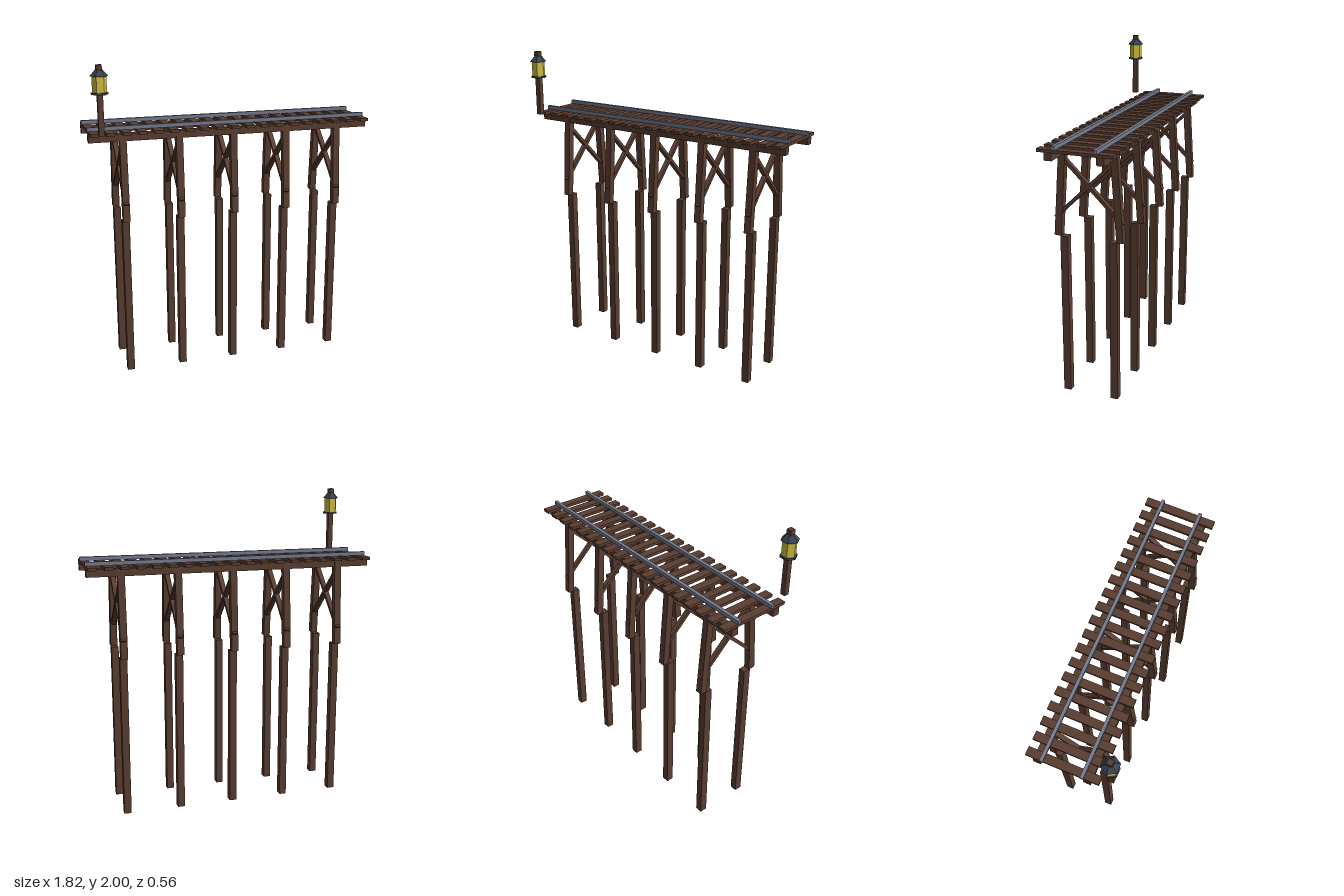
import * as THREE from 'three';

const material = (name, color) => {
  const m = new THREE.MeshStandardMaterial({ color });
  m.name = name;
  return m;
};

export function createModel() {
  const model = new THREE.Group();
  model.name = 'railwayTrestle';
  const wood = material('dark wood', 0x5a3e31);
  const steel = material('rail steel', 0x767d90);
  const iron = material('lantern iron', 0x38434f);
  const glass = material('lantern glass', 0xd2bf42);

  const add = (parent, name, geometry, mat, x, y, z) => {
    const mesh = new THREE.Mesh(geometry, mat);
    mesh.name = name;
    mesh.position.set(x, y, z);
    parent.add(mesh);
    return mesh;
  };
  const box = (parent, name, w, h, d, x, y, z, mat = wood) =>
    add(parent, name, new THREE.BoxGeometry(w, h, d), mat, x, y, z);

  // Timber running between two points [y, z] in the plane of a bent
  const timber = (parent, name, w, thick, [y0, z0], [y1, z1]) => {
    const dy = y1 - y0, dz = z1 - z0;
    const mesh = box(parent, name, w, Math.hypot(dy, dz), thick, 0, (y0 + y1) / 2, (z0 + z1) / 2);
    mesh.rotation.x = Math.atan2(dz, dy);
  };

  // Track, centred on its own z axis
  const track = new THREE.Group();
  track.name = 'track';
  track.position.z = -0.05;
  model.add(track);
  for (const s of [1, -1]) {
    box(track, 'beam', 1.82, 0.046, 0.045, 0, 1.548, s * 0.155);
    box(track, 'rail', 1.82, 0.024, 0.021, 0, 1.599, s * 0.124, steel);
  }
  for (let i = 0; i < 19; i++) {
    box(track, 'tie', 0.053, 0.019, 0.452, (i - 9) * 0.0975, 1.578, 0);
  }

  // Five bents: posts, splayed legs and crossed braces
  for (let i = -2; i <= 2; i++) {
    const bent = new THREE.Group();
    bent.name = 'bent';
    bent.position.set(i * 0.351, 0, -0.05);
    model.add(bent);
    for (const s of [1, -1]) {
      box(bent, 'post', 0.045, 1.02, 0.047, 0, 0.51, s * 0.155);
      timber(bent, 'leg', 0.043, 0.043, [1.022, s * 0.194], [1.567, s * 0.156]);
      timber(bent, 'brace', 0.03, 0.021, [1.132, s * 0.21], [1.508, s * -0.174]);
    }
  }

  // Lantern on its post beside the track
  const lamp = new THREE.Group();
  lamp.name = 'lantern';
  lamp.position.set(-0.845, 0, 0.232);
  model.add(lamp);
  const hex = (name, top, bottom, y0, y1, mat) => {
    const g = new THREE.CylinderGeometry(top, bottom, y1 - y0, 6).toNonIndexed();
    g.rotateY(Math.PI / 6);
    g.computeVertexNormals();
    add(lamp, name, g, mat, 0, (y0 + y1) / 2, 0);
  };
  box(lamp, 'lampPost', 0.033, 0.415, 0.033, 0, 1.7925, 0);
  hex('lanternBase', 0.051, 0.051, 1.83, 1.842, iron);
  hex('lanternGlass', 0.043, 0.043, 1.842, 1.935, glass);
  hex('lanternRoof', 0.022, 0.055, 1.935, 1.972, iron);

  return model;
}
